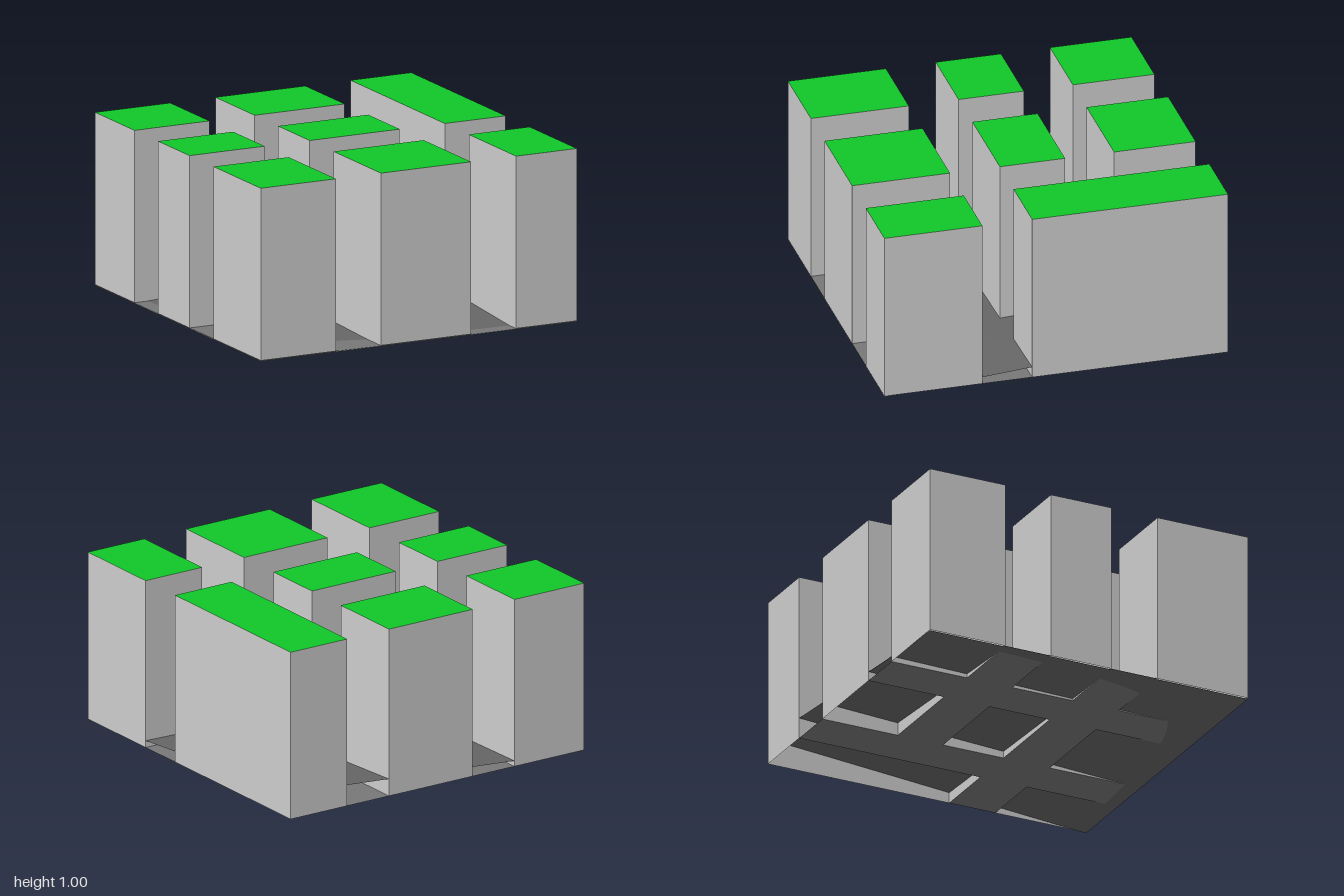
import * as THREE from 'three';

const FLOOR = 0.005, ROOF = 1, RISE = 0.16;
const wallMat = new THREE.MeshStandardMaterial({ color: 0xcccccc, side: THREE.DoubleSide });
const roofMat = new THREE.MeshStandardMaterial({ color: 0x11c528, side: THREE.DoubleSide });
const streetMat = new THREE.MeshStandardMaterial({ color: 0x777777, side: THREE.DoubleSide });
const groundMat = new THREE.MeshStandardMaterial({ color: 0x666666, side: THREE.DoubleSide });

// Horizontal rectangle spanning x0..x1, z0..z1 at height y
function slab(name, [x0, x1], [z0, z1], y, material) {
  const geo = new THREE.PlaneGeometry(x1 - x0, z1 - z0).rotateX(-Math.PI / 2);
  const mesh = new THREE.Mesh(geo, material);
  mesh.position.set((x0 + x1) / 2, y, (z0 + z1) / 2);
  mesh.name = name;
  return mesh;
}

// Block with four walls, a green roof and an open bottom
function building([x0, x1], [z0, z1]) {
  const group = new THREE.Group();
  group.name = 'building';
  const geo = new THREE.BoxGeometry(x1 - x0, ROOF - FLOOR, z1 - z0);
  const index = Array.from(geo.index.array);
  index.splice(12, 12); // drop top and bottom faces
  geo.setIndex(index);
  geo.clearGroups();
  const walls = new THREE.Mesh(geo, wallMat);
  walls.name = 'walls';
  walls.position.set((x0 + x1) / 2, (ROOF + FLOOR) / 2, (z0 + z1) / 2);
  group.add(walls, slab('roof', [x0, x1], [z0, z1], ROOF, roofMat));
  return group;
}

// Twisted ground sheet, rising towards the back left corner
function slopedGround() {
  const geo = new THREE.PlaneGeometry(2, 2, 48, 48).rotateX(-Math.PI / 2);
  const p = geo.attributes.position;
  for (let i = 0; i < p.count; i++) {
    p.setY(i, RISE * (p.getX(i) + 1) / 2 * (1 - p.getZ(i)) / 2);
  }
  geo.computeVertexNormals();
  const mesh = new THREE.Mesh(geo, groundMat);
  mesh.name = 'slopedGround';
  return mesh;
}

export function createModel() {
  const model = new THREE.Group();
  model.name = 'cityBlocks';
  const cols = [[-1, -0.525], [-0.24, 0.33], [0.615, 1]];
  const rows = [[-1, -0.525], [-0.24, 0.14], [0.43, 1]];

  // Two columns of three buildings, then a long and a short one
  for (const c of cols.slice(0, 2)) for (const r of rows) model.add(building(c, r));
  model.add(building(cols[2], [-1, 0.14]), building(cols[2], rows[2]));

  // Street floor: two long streets plus the cross street pieces
  const streets = new THREE.Group();
  streets.name = 'streets';
  for (let i = 0; i < 2; i++) {
    streets.add(slab('longStreet', [cols[i][1], cols[i + 1][0]], [-1, 1], FLOOR, streetMat));
    for (let c = 0; c < 3; c++) {
      if (c === 2 && i === 0) continue; // closed off by the long building
      streets.add(slab('crossStreet', cols[c], [rows[i][1], rows[i + 1][0]], FLOOR, streetMat));
    }
  }
  model.add(streets, slopedGround());
  return model;
}
